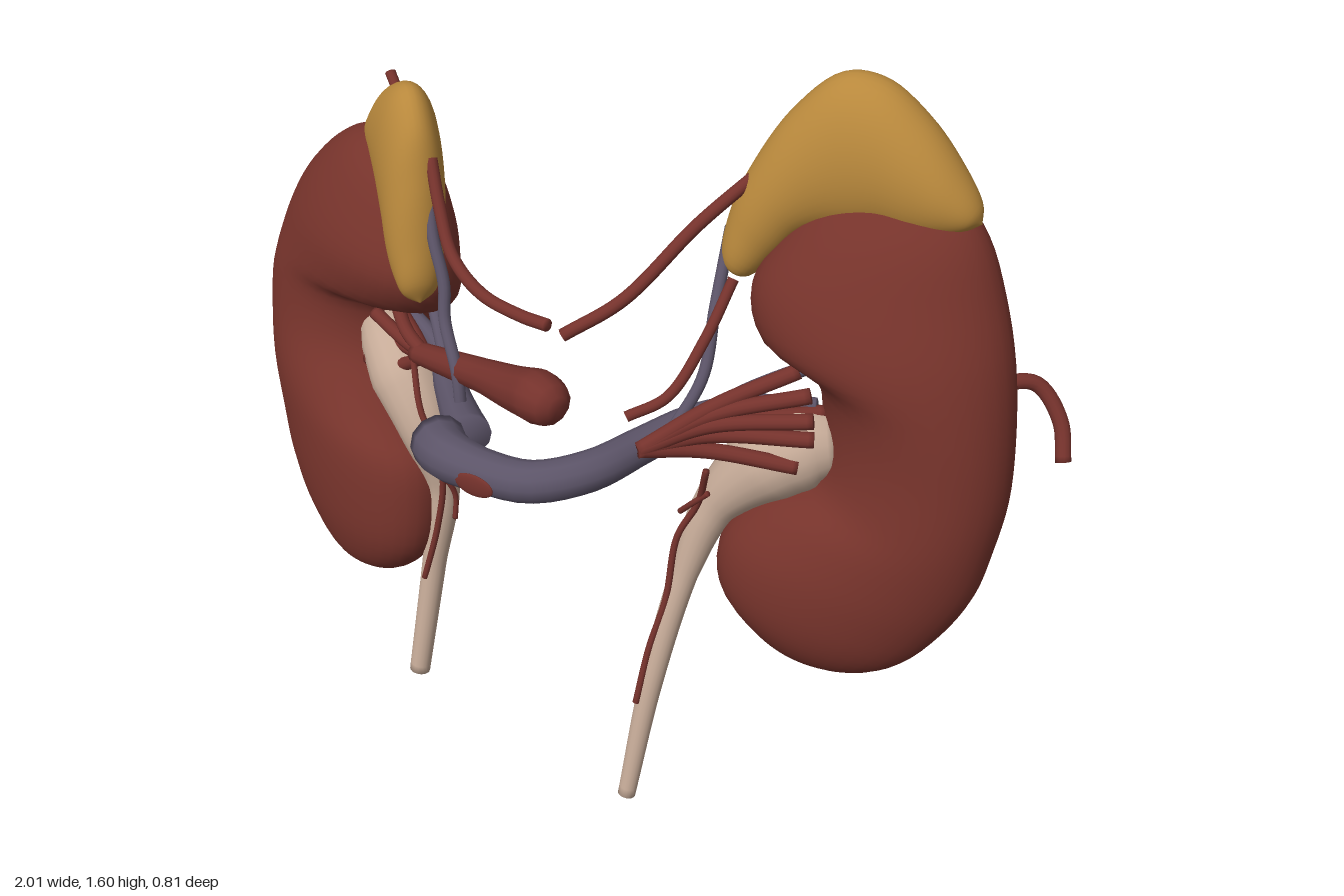
import * as THREE from 'three';

const V = (x, y, z) => new THREE.Vector3(x, y, z);
const mat = (name, color) => {
  const m = new THREE.MeshStandardMaterial({ color });
  m.name = name;
  return m;
};

// Closed skin over equally sized rings, each counter-clockwise about the direction of travel
function skin(rings) {
  const n = rings[0].length, pos = [], idx = [];
  rings.forEach(r => r.forEach(p => pos.push(p.x, p.y, p.z)));
  for (let i = 0; i < rings.length - 1; i++) {
    for (let j = 0; j < n; j++) {
      const a = i * n + j, b = i * n + (j + 1) % n, c = a + n, d = b + n;
      idx.push(a, b, c, b, d, c);
    }
  }
  const g = new THREE.BufferGeometry();
  g.setAttribute('position', new THREE.Float32BufferAttribute(pos, 3));
  g.setIndex(idx);
  g.computeVertexNormals();
  return g;
}

// Organ on a tilted plane: each row is [xa, ya, xb, yb, half thickness, za, zb],
// an ellipse from a to b, whose ends may be moved off the plane by za and zb
function organ(rows, plane, segs = 56, sides = 36) {
  const { x, y, z, sx, sy } = plane;
  const normal = V(-sx, -sy, 1).normalize();
  const onPlane = p => V(p.x, p.y, p.z + z + sx * (p.x - x) + sy * (p.y - y));
  const ca = new THREE.CatmullRomCurve3(rows.map(r => V(r[0], r[1], r[5] ?? 0)));
  const cb = new THREE.CatmullRomCurve3(rows.map(r => V(r[2], r[3], r[6] ?? 0)));
  const ct = new THREE.CatmullRomCurve3(rows.map(r => V((r[0] + r[2]) / 2, (r[1] + r[3]) / 2, r[4])));
  const rings = [];
  for (let i = 0; i <= segs; i++) {
    const u = i / segs, thick = Math.max(ct.getPoint(u).z, 0);
    const a = onPlane(ca.getPoint(u)), b = onPlane(cb.getPoint(u));
    const mid = a.clone().add(b).multiplyScalar(0.5), half = b.clone().sub(mid);
    rings.push(Array.from({ length: sides }, (_, j) => {
      const t = j / sides * Math.PI * 2;
      return mid.clone().addScaledVector(half, Math.cos(t)).addScaledVector(normal, thick * Math.sin(t));
    }));
  }
  return skin(rings);
}

// Capped tube through points [x, y, z, radius]
function vessel(pts, radius, segs = 32, sides = 12) {
  const curve = new THREE.CatmullRomCurve3(pts.map(p => V(p[0], p[1], p[2])));
  const radii = pts.map(p => p[3] ?? radius);
  const { normals, binormals } = curve.computeFrenetFrames(segs);
  const rings = [];
  for (let i = -1; i <= segs + 1; i++) {
    const k = Math.min(Math.max(i, 0), segs);
    const f = curve.getUtoTmapping(k / segs) * (pts.length - 1);
    const s = Math.min(Math.floor(f), pts.length - 2);
    const r = i === k ? THREE.MathUtils.lerp(radii[s], radii[s + 1], f - s) : 0;
    const c = curve.getPointAt(k / segs);
    rings.push(Array.from({ length: sides }, (_, j) => {
      const t = j / sides * Math.PI * 2;
      return c.clone().addScaledVector(normals[k], r * Math.cos(t)).addScaledVector(binormals[k], r * Math.sin(t));
    }));
  }
  return skin(rings);
}

export function createModel() {
  const group = new THREE.Group();
  group.name = 'kidneys';
  const kidneyRed = mat('kidney red', 0x76332b);
  const arteryRed = mat('artery red', 0x75322c);
  const veinBlue = mat('vein blue grey', 0x5c5468);
  const adrenalYellow = mat('adrenal yellow', 0xb8883c);
  const ureterCream = mat('ureter cream', 0xc6ab98);
  const add = (name, geo, material) => {
    const m = new THREE.Mesh(geo, material);
    m.name = name;
    group.add(m);
    return m;
  };
  const artery = (name, pts, r) => add(name, vessel(pts, r), arteryRed);
  const vein = (name, pts, r) => add(name, vessel(pts, r), veinBlue);

  // Kidneys, from top to bottom, the inner edge set back around the hilum
  add('leftKidney', organ([
    [.63, 1.422, .63, 1.422, 0, -.035, -.035], [.58, 1.405, .69, 1.415, .03, -.035, -.035],
    [.51, 1.36, .755, 1.39, .062, -.035, -.03], [.45, 1.27, .82, 1.33, .105, -.03, -.015],
    [.415, 1.17, .875, 1.22, .135, -.02, -.01], [.45, 1.07, .92, 1.1, .155, -.02, 0],
    [.55, 1.01, .95, .95, .16, -.04, 0], [.575, .9, .962, .83, .16, -.06, 0],
    [.575, .8, .955, .72, .154, -.05, 0], [.505, .75, .94, .62, .142, -.02, 0],
    [.45, .66, .9, .53, .13], [.458, .55, .84, .45, .107], [.53, .455, .77, .405, .072, -.01, -.01],
    [.6, .4, .7, .388, .03, -.02, -.02], [.65, .385, .65, .385, 0, -.025, -.025],
  ], { x: 0.7, y: 0.9, z: -0.1, sx: -0.3, sy: -0.21 }), kidneyRed);
  add('rightKidney', organ([
    [-.44, 1.25, -.44, 1.25, 0], [-.49, 1.235, -.39, 1.225, .03], [-.57, 1.2, -.32, 1.17, .08],
    [-.66, 1.12, -.27, 1.08, .12], [-.73, 1.02, -.25, .98, .145], [-.77, .92, -.29, .89, .158, 0, -.03],
    [-.79, .82, -.385, .85, .162, 0, -.05], [-.79, .72, -.395, .73, .162, 0, -.05],
    [-.78, .6, -.335, .635, .157, 0, -.015], [-.75, .48, -.25, .57, .148], [-.71, .38, -.23, .46, .137],
    [-.64, .29, -.25, .34, .113], [-.55, .23, -.33, .245, .075], [-.49, .213, -.41, .213, .035],
    [-.45, .208, -.45, .208, 0],
  ], { x: -0.52, y: 0.7, z: -0.02, sx: 0.4, sy: -0.15 }), kidneyRed);

  // Adrenal caps, from one tip to the other
  add('leftAdrenal', organ([
    [.37, 1.17, .37, 1.17, 0], [.4, 1.17, .343, 1.2, .04], [.45, 1.23, .345, 1.3, .06],
    [.49, 1.28, .375, 1.4, .07], [.53, 1.3, .43, 1.51, .074], [.58, 1.31, .51, 1.593, .076],
    [.63, 1.32, .59, 1.595, .076], [.69, 1.32, .68, 1.54, .073], [.74, 1.33, .755, 1.465, .06],
    [.78, 1.345, .803, 1.4, .035], [.81, 1.365, .81, 1.365, 0],
  ], { x: 0.58, y: 1.4, z: -0.185, sx: -0.19, sy: -0.2 }), adrenalYellow);
  add('rightAdrenal', organ([
    [-.555, 1.195, -.555, 1.195, 0], [-.53, 1.18, -.53, 1.225, .03], [-.48, 1.16, -.48, 1.285, .05],
    [-.43, 1.13, -.42, 1.36, .06], [-.39, 1.08, -.34, 1.4, .065], [-.36, 1.04, -.285, 1.35, .065],
    [-.33, 1.0, -.255, 1.24, .062], [-.3, .98, -.24, 1.12, .052], [-.275, .97, -.235, 1.03, .035],
    [-.25, .975, -.25, .975, 0],
  ], { x: -0.38, y: 1.2, z: -0.015, sx: 0.75, sy: -0.1 }), adrenalYellow);

  // Ureters with their funnels
  add('leftUreter', vessel([
    [.63, .88, -.09, .06], [.57, .865, -.055, .09], [.51, .82, -.02, .085], [.43, .71, .03, .046],
    [.395, .55, .08, .029], [.37, .3, .15, .025], [.356, .005, .215, .019],
  ], 0, 48, 18), ureterCream);
  add('rightUreter', vessel([
    [-.48, .79, -.03, .045], [-.41, .775, .01, .07], [-.34, .73, .05, .08], [-.26, .63, .08, .062],
    [-.222, .5, .085, .036], [-.235, .3, .11, .027], [-.25, .005, .16, .023],
  ], 0, 48, 18), ureterCream);

  // Renal arteries and their branches
  artery('rightRenalArtery', [
    [.192, .97, .243, .025], [.175, .969, .238, .045], [.13, .96, .22, .055], [.06, .935, .195, .047],
    [-.05, .9, .155, .036], [-.18, .86, .115, .029], [-.28, .83, .085, .024],
  ]);
  [[-.37, .91, .04], [-.42, .86, .05], [-.44, .81, .03], [-.43, .75, .07], [-.42, .83, -.03]].forEach(([x, y, z]) =>
    artery('rightArteryBranch', [[-.25, .84, .095], [-.32, (y + .82) / 2, z / 2 + .05], [x, y, z]], .015));
  [[.56, 1.05, -.03], [.6, 1.02, -.01], [.62, .98, .01], [.62, .93, 0], [.6, .87, .02], [.6, .94, -.08]].forEach(([x, y, z]) =>
    artery('leftArteryBranch', [[.345, .905, .19], [.44, y * .5 + .455, z * .5 + .09], [x, y, z]], .016));

  // Renal veins and their branches
  vein('leftRenalVein', [
    [-.055, .825, .305, .058], [0, .84, .345, .053], [.1, .85, .357, .044], [.2, .858, .34, .042],
    [.28, .87, .26, .041], [.32, .875, .14, .037], [.365, .89, .04, .034], [.44, .92, -.03, .023], [.58, .95, -.08, .015],
  ]);
  vein('rightRenalVein', [
    [-.04, .795, .22, .045], [-.1, .785, .17, .042], [-.2, .78, .08, .034], [-.28, .8, .01, .022], [-.4, .83, -.04, .015],
  ]);
  [[-.4, .74, -.05], [-.36, .9, -.06]].forEach(p =>
    vein('rightVeinBranch', [[-.2, .78, .08], [-.28, .4 + p[1] / 2, .01], p], .014));
  [[.58, .86, -.1], [.56, 1.02, -.12]].forEach(p =>
    vein('leftVeinBranch', [[.36, .89, .05], [.45, .45 + p[1] / 2, -.03], p], .015));

  // Cut vessel mouth on the left vein
  const mouth = add('veinOpening', new THREE.SphereGeometry(1, 20, 12), arteryRed);
  mouth.scale.set(.046, .025, .006);
  mouth.position.set(.105, .845, .4);
  mouth.rotation.z = .1;

  // Adrenal vessels
  artery('rightAdrenalArtery', [[.13, 1.11, .19], [.06, 1.1, .18], [-.05, 1.1, .16], [-.15, 1.13, .12], [-.21, 1.2, .08], [-.26, 1.28, .04]], .013);
  artery('leftAdrenalArtery', [[.165, 1.1, .19], [.25, 1.17, .11], [.33, 1.3, -.02], [.4, 1.39, -.14]], .013);
  artery('leftLowerAdrenalArtery', [[.295, .945, .16], [.35, .98, .1], [.38, 1.08, .02], [.39, 1.18, -.06]], .011);
  vein('rightAdrenalVein', [[-.1, .8, .17], [-.12, .88, .155], [-.175, .97, .12], [-.19, 1.04, .1], [-.23, 1.13, .08], [-.26, 1.22, .05]], .013);
  vein('leftAdrenalVein', [[.35, .88, .1], [.385, 1.0, .03], [.37, 1.12, -.03], [.35, 1.26, -.11]], .012);

  // Outer and back arteries
  artery('rightOuterArtery', [[-.99, .5, -.355], [-.94, .59, -.39], [-.88, .66, -.36], [-.8, .69, -.27], [-.7, .69, -.15]], .016);
  artery('leftOuterArtery', [[.99, .82, -.355], [.96, .89, -.385], [.9, .955, -.385], [.84, .965, -.32], [.76, .96, -.22]], .016);
  artery('rightBackArtery', [[-.605, 1.25, -.26], [-.575, 1.22, -.24], [-.55, 1.12, -.16]], .012);
  artery('leftBackArtery', [[.735, 1.23, -.36], [.71, 1.2, -.33], [.64, 1.15, -.25]], .01);

  // Fine arteries along the ureters
  artery('leftUreterArtery', [[.45, .85, .11], [.42, .74, .085], [.385, .65, .1], [.378, .5, .122], [.362, .38, .155], [.355, .25, .188]], .007);
  artery('leftUreterTwig', [[.378, .7, .08], [.41, .74, .09], [.445, .78, .09]], .006);
  artery('rightUreterArtery', [[-.28, .83, .1], [-.24, .72, .13], [-.205, .65, .13], [-.195, .55, .12], [-.21, .42, .125], [-.24, .27, .14]], .007);
  artery('rightUreterTwig', [[-.195, .56, .115], [-.182, .5, .095], [-.18, .44, .1]], .006);

  return group;
}
